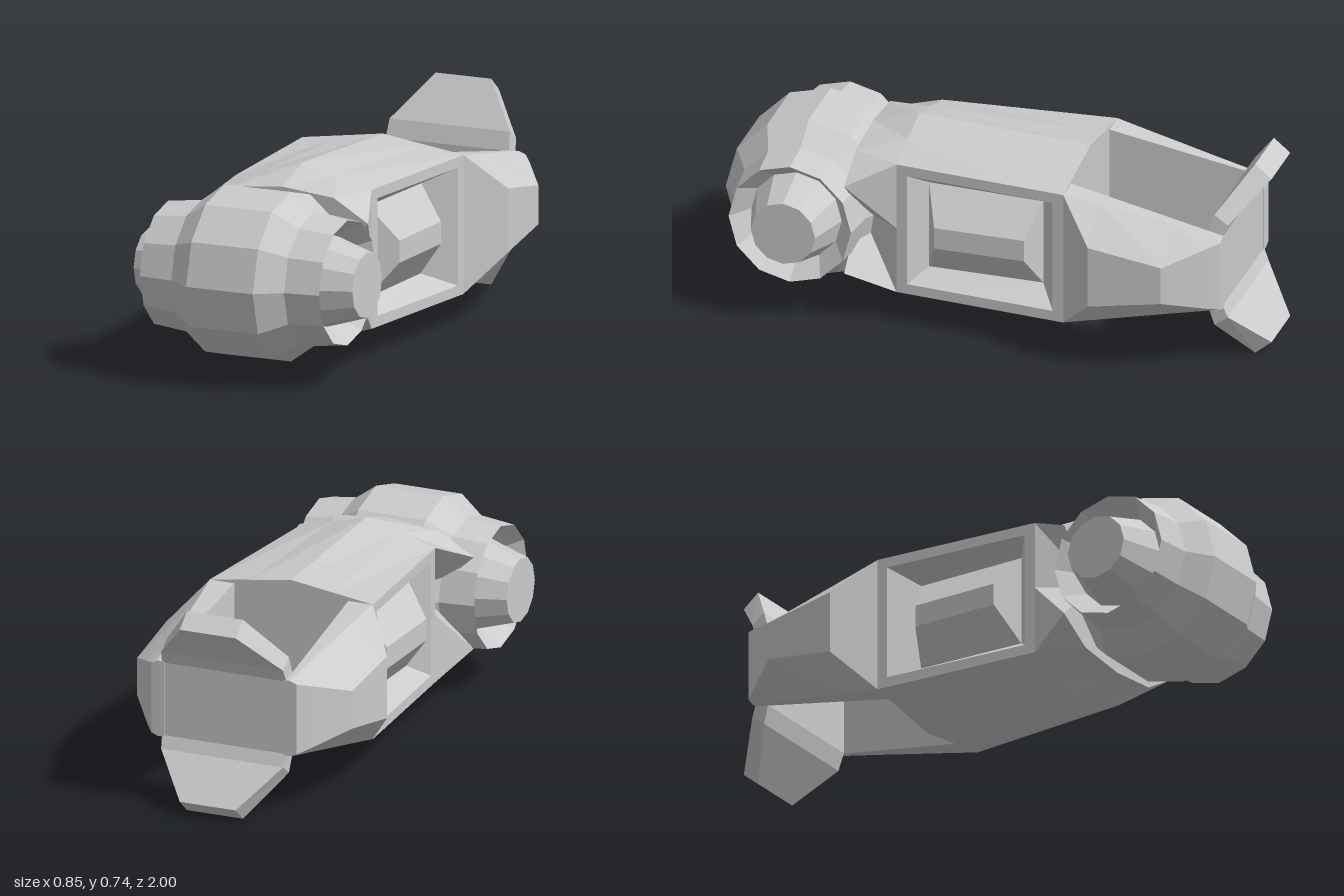
import * as THREE from 'three';

const MID = 0.37; // height of the horizontal symmetry plane
const material = new THREE.MeshStandardMaterial({ color: 0xcccccc, flatShading: true });

// Flat-shaded skin through rings of [x, y, z] points (y relative to MID).
// Rings run counter-clockwise when seen from the end of the loft.
function loft(name, rings, { start = true, end = true, skip = () => false } = {}) {
  const pos = [];
  const tri = (...pts) => pts.forEach(p => pos.push(p[0], p[1] + MID, p[2]));
  const n = rings[0].length;
  for (let k = 0; k < rings.length - 1; k++) {
    for (let i = 0; i < n; i++) {
      if (skip(k, i)) continue;
      const j = (i + 1) % n, lo = rings[k], hi = rings[k + 1];
      tri(lo[i], lo[j], hi[j]);
      tri(lo[i], hi[j], hi[i]);
    }
  }
  const cap = (ring, flip) => {
    const c = [0, 1, 2].map(a => ring.reduce((s, p) => s + p[a], 0) / n);
    ring.forEach((p, i) => {
      const q = ring[(i + 1) % n];
      flip ? tri(c, q, p) : tri(c, p, q);
    });
  };
  if (start) cap(rings[0], true);
  if (end) cap(rings[rings.length - 1], false);
  const geo = new THREE.BufferGeometry();
  geo.setAttribute('position', new THREE.Float32BufferAttribute(pos, 3));
  geo.computeVertexNormals();
  const mesh = new THREE.Mesh(geo, material);
  mesh.name = name;
  return mesh;
}

const mirrorX = rings => rings.map(r => r.map(([x, y, z]) => [-x, y, z]).reverse());

// Twelve-sided knuckle with recessed ends and a tapered hub on each side
function knuckle() {
  const half = [[0.305, 0.13], [0.24, 0.22], [0.225, 0.35], [0.166, 0.27], [0.118, 0.427], [0, 0.427]];
  const profile = [
    ...half.map(([r, x]) => new THREE.Vector2(r, -x)).reverse(),
    ...half.map(([r, x]) => new THREE.Vector2(r, x)),
  ];
  const geo = new THREE.LatheGeometry(profile, 12).rotateZ(Math.PI / 2);
  const mesh = new THREE.Mesh(geo.toNonIndexed(), material);
  mesh.geometry.computeVertexNormals();
  mesh.position.set(0, MID, 0.695);
  mesh.name = 'knuckle';
  return mesh;
}

// Full body section from the crown, shoulder, corner and waist of one quarter
function bodyRing(z, crown, [bx, by], [cx, cy], waist) {
  return [
    [waist, 0, z], [cx, cy, z], [bx, by, z], [0, crown, z], [-bx, by, z], [-cx, cy, z],
    [-waist, 0, z], [-cx, -cy, z], [-bx, -by, z], [0, -crown, z], [bx, -by, z], [cx, -cy, z],
  ];
}

// Rectangle facing +x, with its own x at the back and front ends
function panelRing(zBack, zFront, h, xBack, xFront) {
  return [[xBack, -h, zBack], [xBack, h, zBack], [xFront, h, zFront], [xFront, -h, zFront]];
}

function forkRing(z, inner, edge, h, ridge, ridgeH) {
  return [[inner, -h, z], [edge, -h, z], [ridge, -ridgeH, z], [ridge, ridgeH, z], [edge, h, z], [inner, h, z]];
}

export function createModel() {
  const model = new THREE.Group();
  model.name = 'jointedClaw';
  model.add(knuckle());

  // Body shell, left open at the sides for the recessed panels
  model.add(loft('body', [
    bodyRing(-0.3, 0.295, [0.16, 0.272], [0.315, 0.25], 0.315),
    bodyRing(0.33, 0.325, [0.133, 0.288], [0.265, 0.25], 0.265),
    bodyRing(0.5, 0.27, [0.2, 0.25], [0.335, 0.17], 0.15),
  ], { skip: (k, i) => k === 0 && [0, 5, 6, 11].includes(i) }));

  // Side panel: frame, sloped recess and a raised faceted block
  const panel = [
    panelRing(-0.3, 0.33, 0.25, 0.315, 0.265),
    panelRing(-0.26, 0.29, 0.212, 0.312, 0.268),
    panelRing(-0.19, 0.23, 0.165, 0.2, 0.2),
    panelRing(-0.15, 0.18, 0.04, 0.3, 0.3),
  ];

  // Fork arm, bulging outward behind the body
  const fork = [
    forkRing(-0.865, 0.23, 0.255, 0.14, 0.28, 0.13),
    forkRing(-0.82, 0.24, 0.26, 0.15, 0.317, 0.115),
    forkRing(-0.69, 0.235, 0.272, 0.175, 0.415, 0.07),
    forkRing(-0.425, 0.225, 0.3, 0.226, 0.427, 0.115),
    forkRing(-0.3, 0.22, 0.314, 0.25, 0.315, 0.249),
  ];

  for (const [side, map] of [['left', r => r], ['right', mirrorX]]) {
    model.add(loft(side + 'SidePanel', map(panel), { start: false }));
    model.add(loft(side + 'Fork', map(fork)));
  }

  // Bent end plate: [y front, z front, y back, z back, half width], bottom to top
  const upper = [
    [0.15, -0.81, 0.135, -0.862, 0.24],
    [0.215, -0.83, 0.18, -0.88, 0.235],
    [0.37, -0.94, 0.32, -1, 0.108],
  ];
  const lower = upper.map(([yf, zf, yb, zb, w]) => [-yf, zf, -yb, zb, w]).reverse();
  model.add(loft('endPlate', [...lower, ...upper].map(([yf, zf, yb, zb, w]) =>
    [[-w, yb, zb], [-w, yf, zf], [w, yf, zf], [w, yb, zb]])));

  return model;
}
